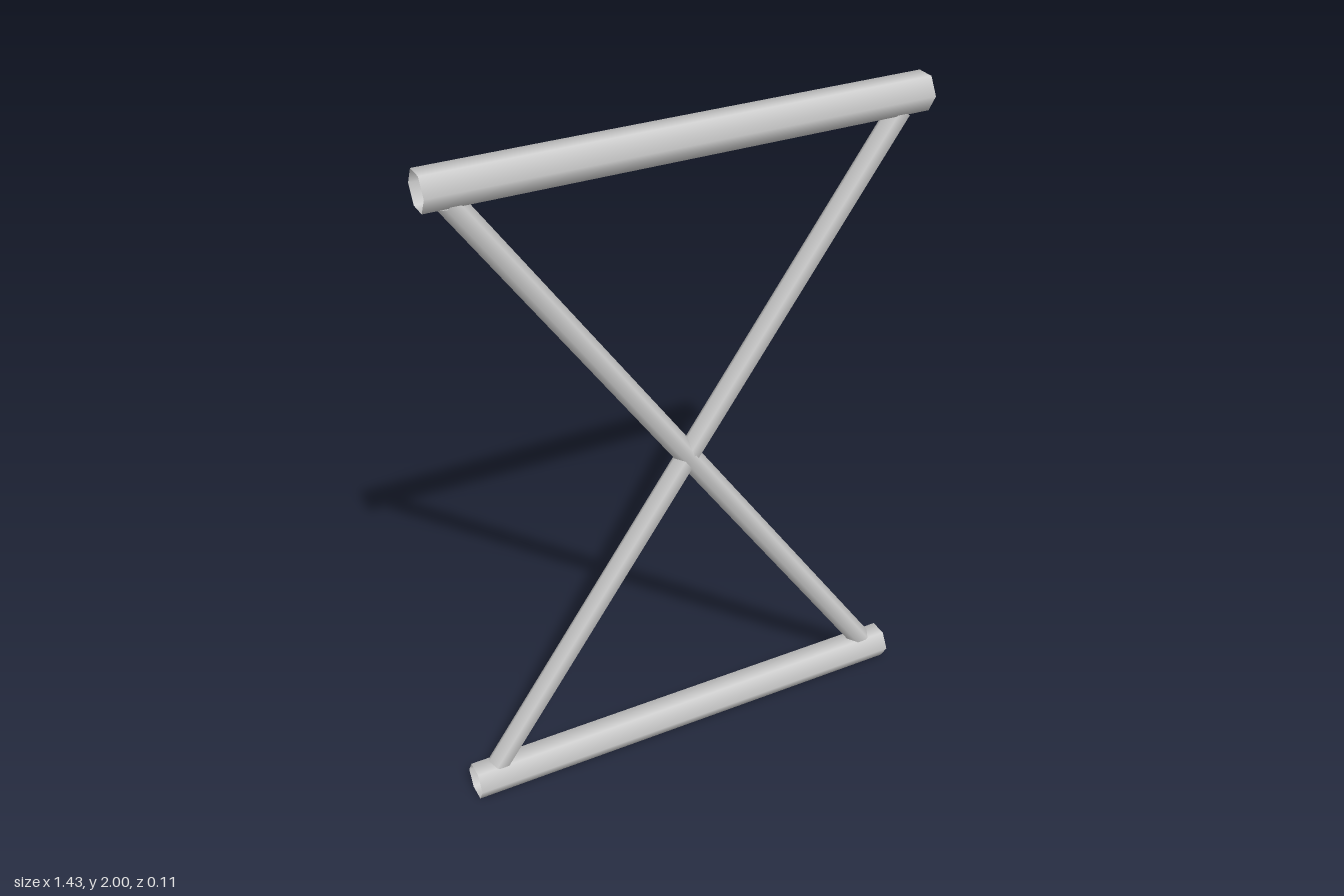
import * as THREE from 'three';

export function createModel() {
  const group = new THREE.Group();
  const material = new THREE.MeshStandardMaterial({ color: 0xcccccc, side: THREE.DoubleSide });

  // open six-sided tube in the xy plane, tilted about z
  const addTube = (name, radius, length, y, tilt, thetaStart) => {
    const geometry = new THREE.CylinderGeometry(radius, radius, length, 6, 1, true, thetaStart);
    const tube = new THREE.Mesh(geometry, material);
    tube.name = name;
    tube.position.y = y;
    tube.rotation.z = tilt;
    group.add(tube);
  };

  // horizontal bars, a ridge facing front and back
  const barRadius = 0.055;
  const barHalf = barRadius * Math.cos(Math.PI / 6);
  addTube('bottomBar', barRadius, 1.426, barHalf, Math.PI / 2, 0);
  addTube('topBar', barRadius, 1.426, 2 - barHalf, Math.PI / 2, 0);

  // crossed struts, a flat facing front and back
  const lean = Math.atan2(0.638, 0.912);
  const strutLength = 2 * Math.hypot(0.638, 0.912);
  addTube('leftLeaningStrut', 0.034, strutLength, 1, lean, Math.PI / 6);
  addTube('rightLeaningStrut', 0.034, strutLength, 1, -lean, Math.PI / 6);

  return group;
}
